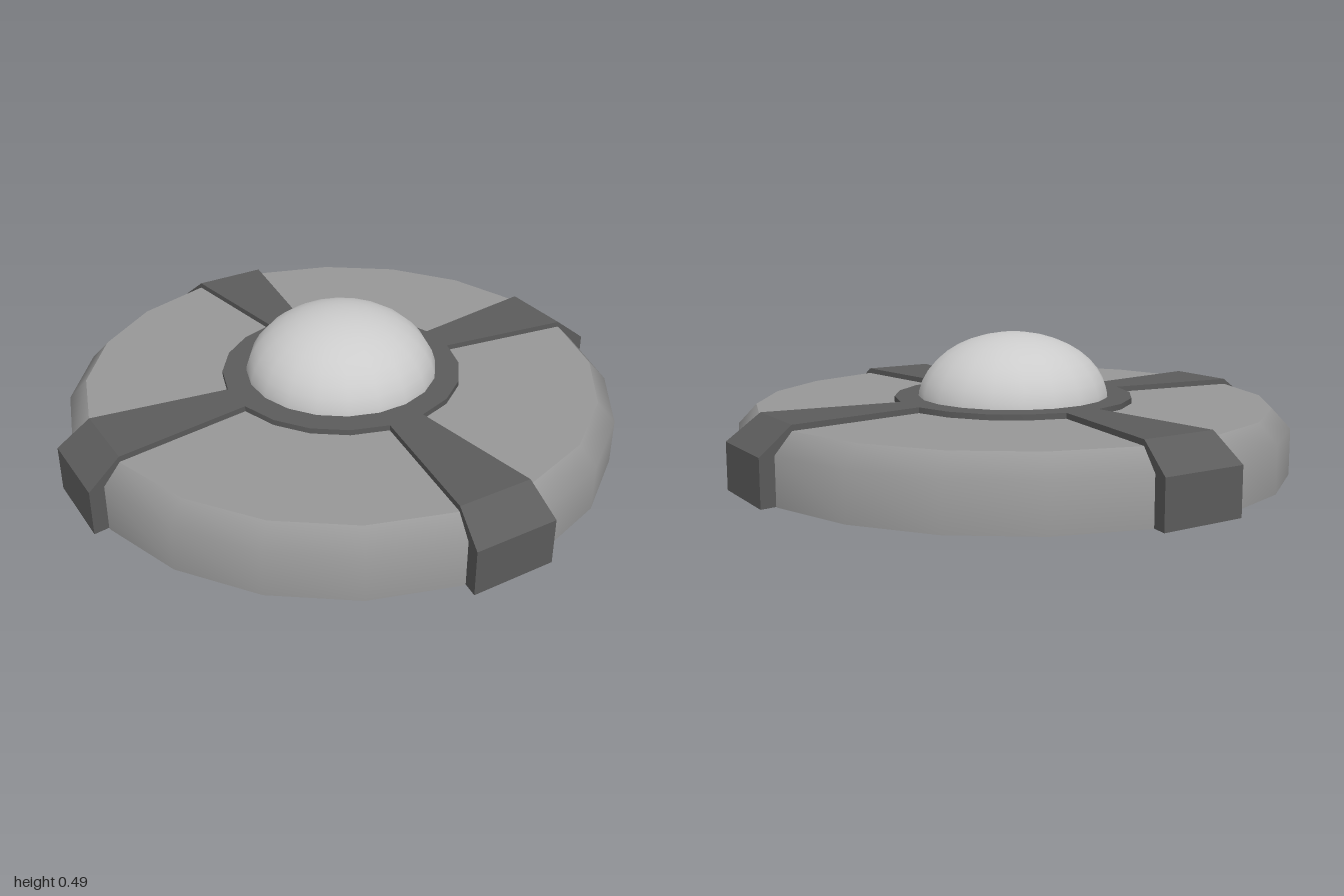
import * as THREE from 'three';
import { ConvexGeometry } from 'three/addons/geometries/ConvexGeometry.js';
import { toCreasedNormals } from 'three/addons/utils/BufferGeometryUtils.js';

const SIDES = 20;
const paint = (color) => new THREE.MeshStandardMaterial({ color });
const lathe = (points, sides = SIDES) =>
  new THREE.LatheGeometry(points.map(([r, y]) => new THREE.Vector2(r, y)), sides);

export function createModel() {
  const group = new THREE.Group();
  const light = paint(0xcccccc), mid = paint(0x999999), dark = paint(0x5c5c5c);
  const add = (name, geometry, material, parent = group) => {
    const mesh = new THREE.Mesh(geometry, material);
    mesh.name = name;
    parent.add(mesh);
    return mesh;
  };

  // Disc body: smooth wall with bevelled shoulder, closed by flat caps
  const body = new THREE.Group();
  body.name = 'body';
  group.add(body);
  add('bodyWall', lathe([[0.995, 0], [0.995, 0.165], [0.93, 0.235]]), mid, body);
  add('bodyTop', lathe([[0.93, 0.235], [0, 0.235]]), mid, body);
  add('bodyBase', lathe([[0, 0], [0.995, 0]]), mid, body);

  // Raised collar around the dome
  const collar = lathe([[0.435, 0.2], [0.435, 0.255], [0.3, 0.255]]);
  add('collar', toCreasedNormals(collar, 0.6), dark);

  // Four flared clamps: each runs outward along +x, bevels and drops over the rim
  const profile = [[0.36, 0], [0.36, 0.255], [0.92, 0.255], [1.037, 0.165], [1.037, 0]];
  const corners = [];
  for (const [r, y] of profile) {
    const half = 0.067 + (r - 0.425) * 0.14;
    corners.push(new THREE.Vector3(r, y, half), new THREE.Vector3(r, y, -half));
  }
  const clampGeometry = new ConvexGeometry(corners);
  for (let i = 0; i < 4; i++) {
    const clamp = add('clamp' + (i + 1), clampGeometry, dark);
    clamp.rotation.y = -THREE.MathUtils.degToRad(27 + i * 90);
  }

  // Flattened dome
  const dome = new THREE.SphereGeometry(0.35, SIDES, 10, 0, Math.PI * 2, 0, Math.PI / 2);
  dome.scale(1, 0.25 / 0.35, 1);
  add('dome', dome, light).position.y = 0.235;

  return group;
}
